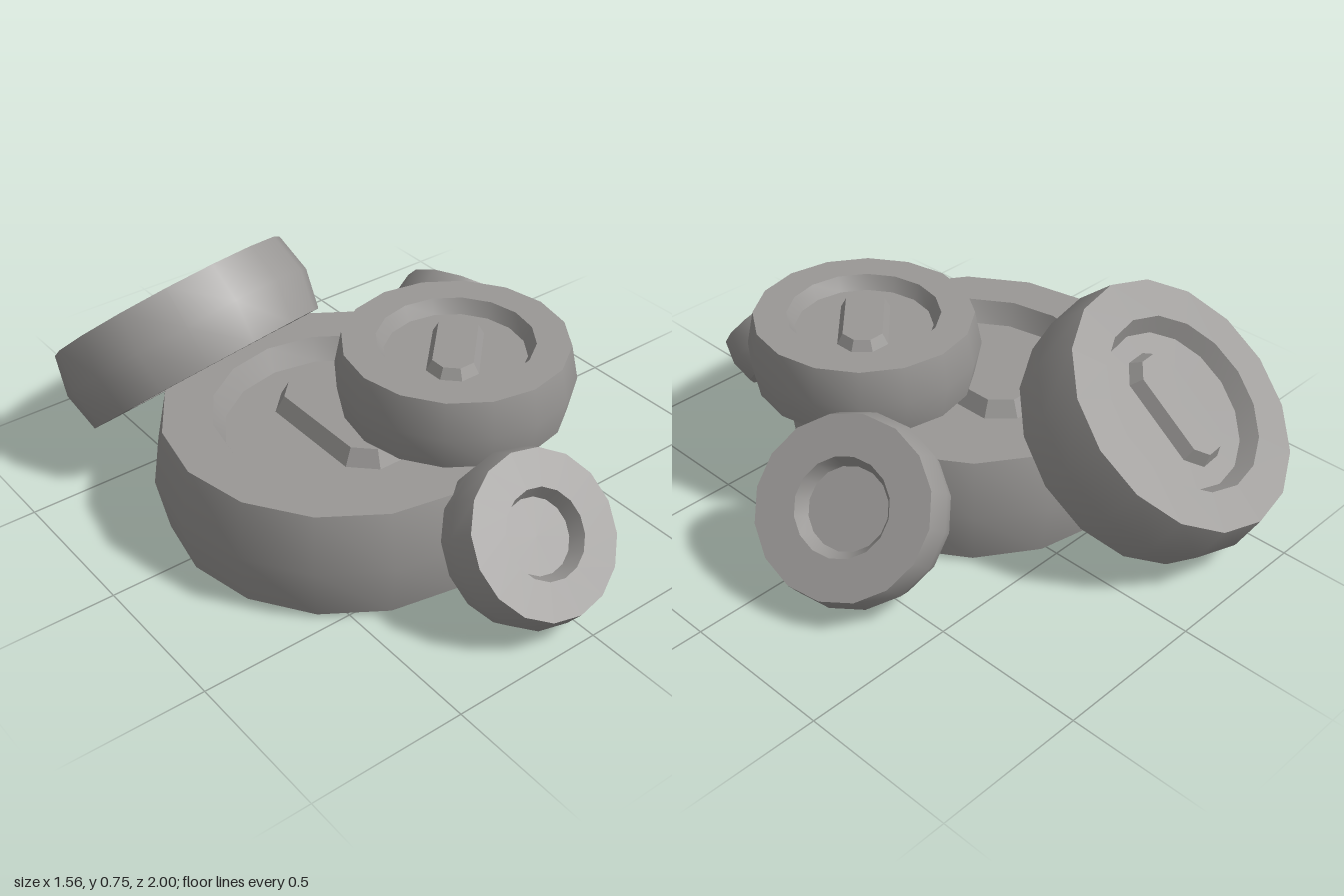
import * as THREE from 'three';
import { toCreasedNormals } from 'three/addons/utils/BufferGeometryUtils.js';

const stone = new THREE.MeshStandardMaterial({ color: 0x9a9896 });
stone.name = 'warm grey';

const SIDES = 16;
const HALF = 0.303; // half thickness for a disc of radius 1

// Barrel-sided disc of radius 1 with a sloped recess in both faces
function discGeometry(opening, floor, depth) {
  const upper = [[0.94, HALF], [opening, HALF], [floor, HALF - depth], [0, HALF - depth]];
  const lower = upper.map(([r, y]) => [r, -y]).reverse();
  const profile = [...lower, [1, 0], ...upper].map(([r, y]) => new THREE.Vector2(r, y));
  return toCreasedNormals(new THREE.LatheGeometry(profile, SIDES), 0.6);
}

// Long chamfered boss: an octagonal stud pulled apart along z
function bossGeometry(height) {
  const geo = new THREE.CylinderGeometry(0.18, 0.23, height, 8, 1, false, Math.PI / 8);
  const pos = geo.attributes.position;
  for (let i = 0; i < pos.count; i++) {
    const z = pos.getZ(i);
    if (Math.abs(z) > 1e-6) pos.setZ(i, z + Math.sign(z) * 0.22);
  }
  return toCreasedNormals(geo, 0.5);
}

function makeDisc({ name, radius, center, axis, opening, floor, depth, bossAngle }) {
  const group = new THREE.Group();
  group.name = name;
  const body = new THREE.Mesh(discGeometry(opening, floor, depth), stone);
  body.name = name + 'Body';
  group.add(body);

  // Bosses on the two recess floors, turned at right angles to each other
  if (bossAngle !== undefined) {
    const height = 0.09;
    for (const side of [1, -1]) {
      const boss = new THREE.Mesh(bossGeometry(height), stone);
      boss.name = name + (side > 0 ? 'UpperBoss' : 'LowerBoss');
      boss.position.y = side * (HALF - depth + height / 2);
      boss.rotation.order = 'YXZ';
      boss.rotation.y = bossAngle + (side > 0 ? 0 : Math.PI / 2);
      if (side < 0) boss.rotation.x = Math.PI;
      group.add(boss);
    }
  }

  group.scale.setScalar(radius);
  group.position.set(...center);
  group.quaternion.setFromUnitVectors(
    new THREE.Vector3(0, 1, 0), new THREE.Vector3(...axis).normalize());
  return group;
}

export function createModel() {
  const model = new THREE.Group();
  model.name = 'discPile';
  const wide = { opening: 0.655, floor: 0.59, depth: 0.125 };
  const small = { opening: 0.51, floor: 0.43, depth: 0.18 };

  const discs = [
    { ...wide, name: 'largeDisc', radius: 0.595, center: [-0.185, 0.195, 0.055],
      axis: [0, 1, 0], opening: 0.68, floor: 0.62, bossAngle: 0 },
    { ...wide, name: 'stackedDisc', radius: 0.372, center: [0.1, 0.488, 0.25],
      axis: [0, 1, 0], bossAngle: -Math.PI / 4 },
    { ...wide, name: 'backLeaningDisc', radius: 0.445, center: [-0.34, 0.382, -0.588],
      axis: [-0.1, 0.76, -0.64], bossAngle: 0.1 },
    { ...small, name: 'sideLeaningDisc', radius: 0.295, center: [0.525, 0.273, -0.15],
      axis: [0.72, 0.64, -0.27] },
    { ...small, name: 'frontLeaningDisc', radius: 0.265, center: [-0.063, 0.255, 0.782],
      axis: [0.01, 0.65, 0.76] },
  ];
  for (const disc of discs) model.add(makeDisc(disc));
  return model;
}
